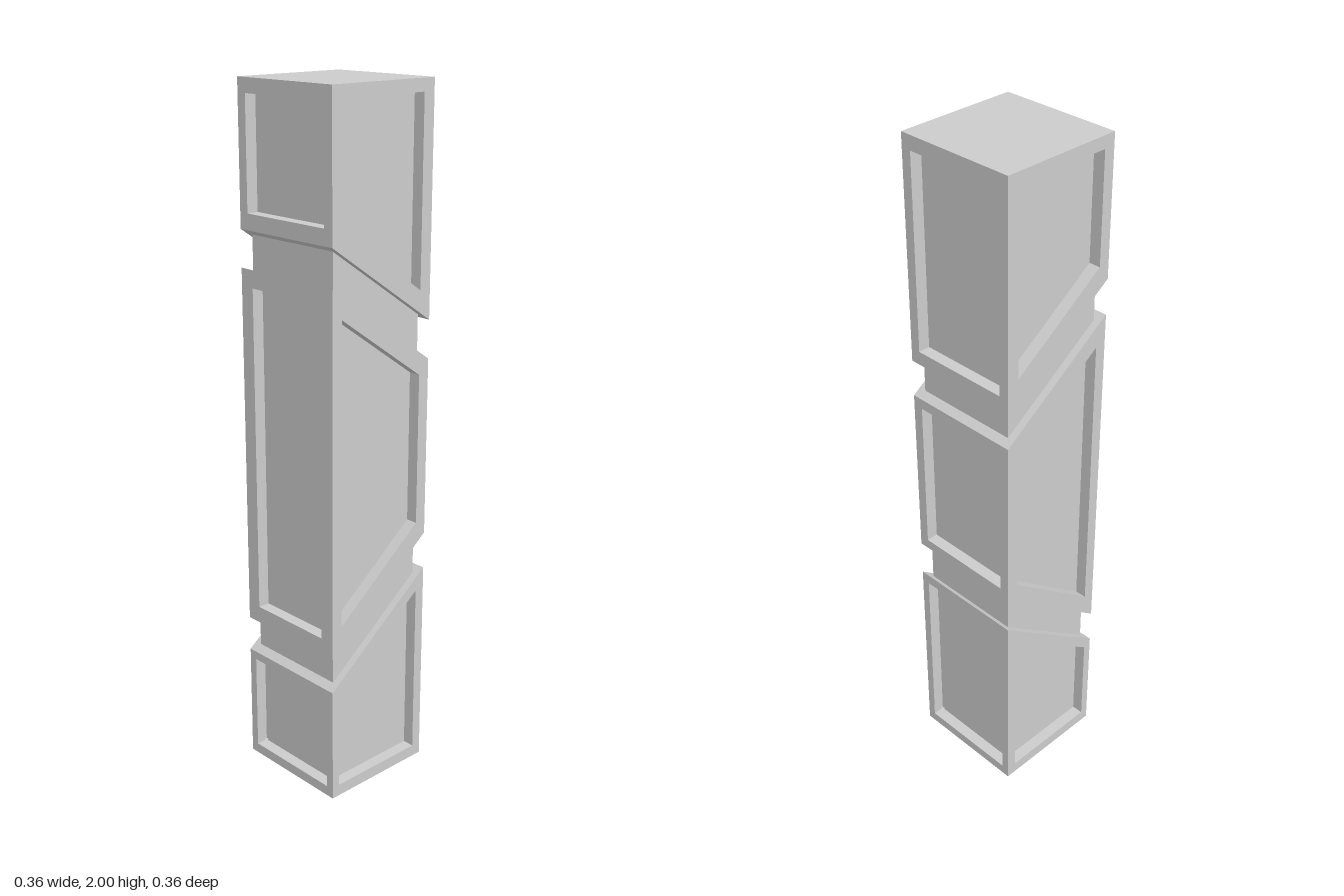
import * as THREE from 'three';

const HALF = 0.18;    // half width of the pillar
const NECK = 0.158;   // half width of the recessed joints
const DEPTH = 0.035;  // how far the panels are sunk

const material = new THREE.MeshStandardMaterial({ color: 0xcccccc, flatShading: true });

// Builds a mesh from four-cornered faces, each listed counter-clockwise from outside
function quadMesh(name, quads) {
  const points = quads.flatMap(([a, b, c, d]) => [a, b, c, a, c, d]);
  const geometry = new THREE.BufferGeometry().setFromPoints(points);
  geometry.computeVertexNormals();
  const mesh = new THREE.Mesh(geometry, material);
  mesh.name = name;
  return mesh;
}

// Joins two loops of four corners with a band of faces
const band = (outer, inner) =>
  outer.map((p, i) => [p, outer[(i + 1) % 4], inner[(i + 1) % 4], inner[i]]);

// Corners of a front or back opening, seen from the front
const frontLoop = (w, y0, y1, z) =>
  [[-w, y0], [w, y0], [w, y1], [-w, y1]].map(([x, y]) => new THREE.Vector3(x, y, z));

// Corners of a side opening on the +x side; f and b are [bottom, top] at the front and back edge
const sideLoop = (zf, zb, f, b, x) =>
  [[zf, f[0]], [zb, b[0]], [zb, b[1]], [zf, f[1]]].map(([z, y]) => new THREE.Vector3(x, y, z));

// Mirrors a loop to the other side and restores its winding
const mirror = (loop, axis) =>
  loop.map((p) => { const q = p.clone(); q[axis] *= -1; return q; }).reverse();

// A wall with a frame, a reveal and a sunken panel
function panelWall(outer, inner, inward) {
  const floor = inner.map((p) => p.clone().addScaledVector(inward, DEPTH));
  return [...band(outer, inner), ...band(inner, floor), floor];
}

// A block with sloped ends and a sunken panel on each of its four sides
function makeBlock({ name, front, back, frontPanel, backPanel, sidePanel }) {
  const h = HALF;
  const frontOuter = frontLoop(h, ...front, h);
  const backOuter = mirror(frontLoop(h, ...back, h), 'z');
  const backInner = mirror(frontLoop(...backPanel, h), 'z');
  const sideOuter = sideLoop(h, -h, front, back, h);
  const sideInner = sideLoop(...sidePanel, h);
  const V = (x, z) => new THREE.Vector3(x, 0, z);
  const cap = (i) => [[-h, h, front], [h, h, front], [h, -h, back], [-h, -h, back]]
    .map(([x, z, ys]) => new THREE.Vector3(x, ys[i], z));
  return quadMesh(name, [
    ...panelWall(frontOuter, frontLoop(...frontPanel, h), V(0, -1)),
    ...panelWall(backOuter, backInner, V(0, 1)),
    ...panelWall(sideOuter, sideInner, V(-1, 0)),
    ...panelWall(mirror(sideOuter, 'x'), mirror(sideInner, 'x'), V(1, 0)),
    cap(1), cap(0).reverse(),
  ]);
}

// A plain slanted joint whose ends are tucked slightly into the blocks
function makeNeck(name, below, above) {
  const n = NECK, tuck = 0.01;
  const yAt = (block, i, z) =>
    THREE.MathUtils.lerp(block.back[i], block.front[i], (z + HALF) / (2 * HALF));
  const span = (z) => [yAt(below, 1, z) - tuck, yAt(above, 0, z) + tuck];
  const side = sideLoop(n, -n, span(n), span(-n), n);
  return quadMesh(name, [
    frontLoop(n, ...span(n), n),
    mirror(frontLoop(n, ...span(-n), n), 'z'),
    side, mirror(side, 'x'),
  ]);
}

// front/back: [bottom, top] heights; front and back panels: half width, bottom, top
const blocks = [
  {
    name: 'lowerBlock', front: [0, 0.345], back: [0, 0.62],
    frontPanel: [0.155, 0.03, 0.32], backPanel: [0.155, 0.03, 0.59],
    sidePanel: [0.155, -0.15, [0.035, 0.325], [0.035, 0.555]],
  },
  {
    name: 'middleBlock', front: [0.45, 1.5], back: [0.73, 1.25],
    frontPanel: [0.135, 0.5, 1.45], backPanel: [0.15, 0.76, 1.22],
    sidePanel: [0.147, -0.145, [0.54, 1.415], [0.77, 1.21]],
  },
  {
    name: 'upperBlock', front: [1.605, 2], back: [1.36, 2],
    frontPanel: [0.15, 1.65, 1.96], backPanel: [0.15, 1.4, 1.96],
    sidePanel: [0.147, -0.143, [1.65, 1.965], [1.447, 1.965]],
  },
];

export function createModel() {
  const pillar = new THREE.Group();
  pillar.name = 'pillar';
  blocks.forEach((block) => pillar.add(makeBlock(block)));
  pillar.add(makeNeck('lowerNeck', blocks[0], blocks[1]));
  pillar.add(makeNeck('upperNeck', blocks[1], blocks[2]));
  return pillar;
}
